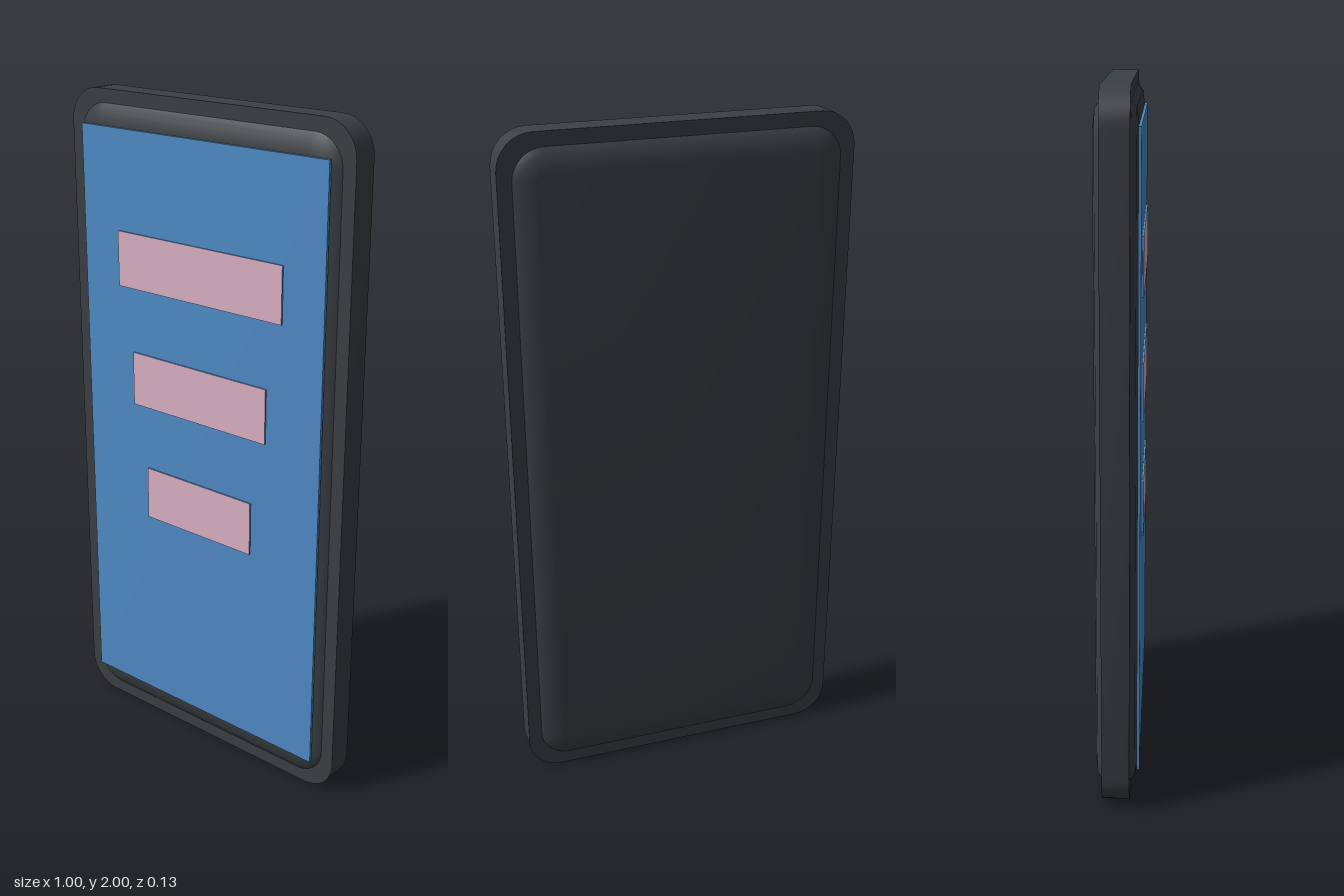
import * as THREE from 'three';
import { toCreasedNormals } from 'three/addons/utils/BufferGeometryUtils.js';

const CASE_Z = -0.006; // the casing sits slightly behind the middle

function roundedRect(hw, hh, r) {
  const s = new THREE.Shape();
  s.moveTo(hw, -hh + r);
  s.lineTo(hw, hh - r);
  s.absarc(hw - r, hh - r, r, 0, Math.PI / 2);
  s.lineTo(-hw + r, hh);
  s.absarc(-hw + r, hh - r, r, Math.PI / 2, Math.PI);
  s.lineTo(-hw, -hh + r);
  s.absarc(-hw + r, -hh + r, r, Math.PI, Math.PI * 1.5);
  s.lineTo(hw - r, -hh);
  s.absarc(hw - r, -hh + r, r, Math.PI * 1.5, Math.PI * 2);
  return s;
}

export function createModel() {
  const casing = new THREE.MeshStandardMaterial({ color: 0x3b4044 });
  casing.name = 'charcoal casing';
  const blue = new THREE.MeshStandardMaterial({ color: 0x4f8cc8 });
  blue.name = 'screen blue';
  const pink = new THREE.MeshStandardMaterial({ color: 0xdcb3c6 });
  pink.name = 'pale pink';

  const group = new THREE.Group();
  group.name = 'phone';

  function add(name, geometry, material, y, z) {
    const mesh = new THREE.Mesh(geometry, material);
    mesh.name = name;
    mesh.position.set(0, y, z);
    group.add(mesh);
  }

  // Outer rim: square-edged band with rounded corners
  const rim = new THREE.ExtrudeGeometry(roundedRect(0.5, 1, 0.1), {
    depth: 0.078, bevelEnabled: false, curveSegments: 4,
  });
  rim.translate(0, 0, -0.039);
  add('rim', toCreasedNormals(rim, 0.7), casing, 1, CASE_Z);

  // Body: softly bevelled slab bulging out of the rim, front and back
  const body = new THREE.ExtrudeGeometry(roundedRect(0.4, 0.9, 0.03), {
    depth: 0.078, bevelEnabled: true, bevelSize: 0.06, bevelThickness: 0.02,
    bevelSegments: 2, curveSegments: 4,
  });
  body.translate(0, 0, -0.039);
  add('body', toCreasedNormals(body, 0.7), casing, 1, CASE_Z);

  // Screen plate
  add('screen', new THREE.BoxGeometry(0.875, 1.8, 0.008), blue, 1, 0.056);

  // Message bars: pink faces with blue edges
  [[0.6, 1.525], [0.5, 1.165], [0.4, 0.803]].forEach(([width, y], i) => {
    add(`messageBar${i + 1}`, new THREE.BoxGeometry(width, 0.164, 0.006),
      [blue, blue, blue, blue, pink, blue], y, 0.062);
  });

  return group;
}
